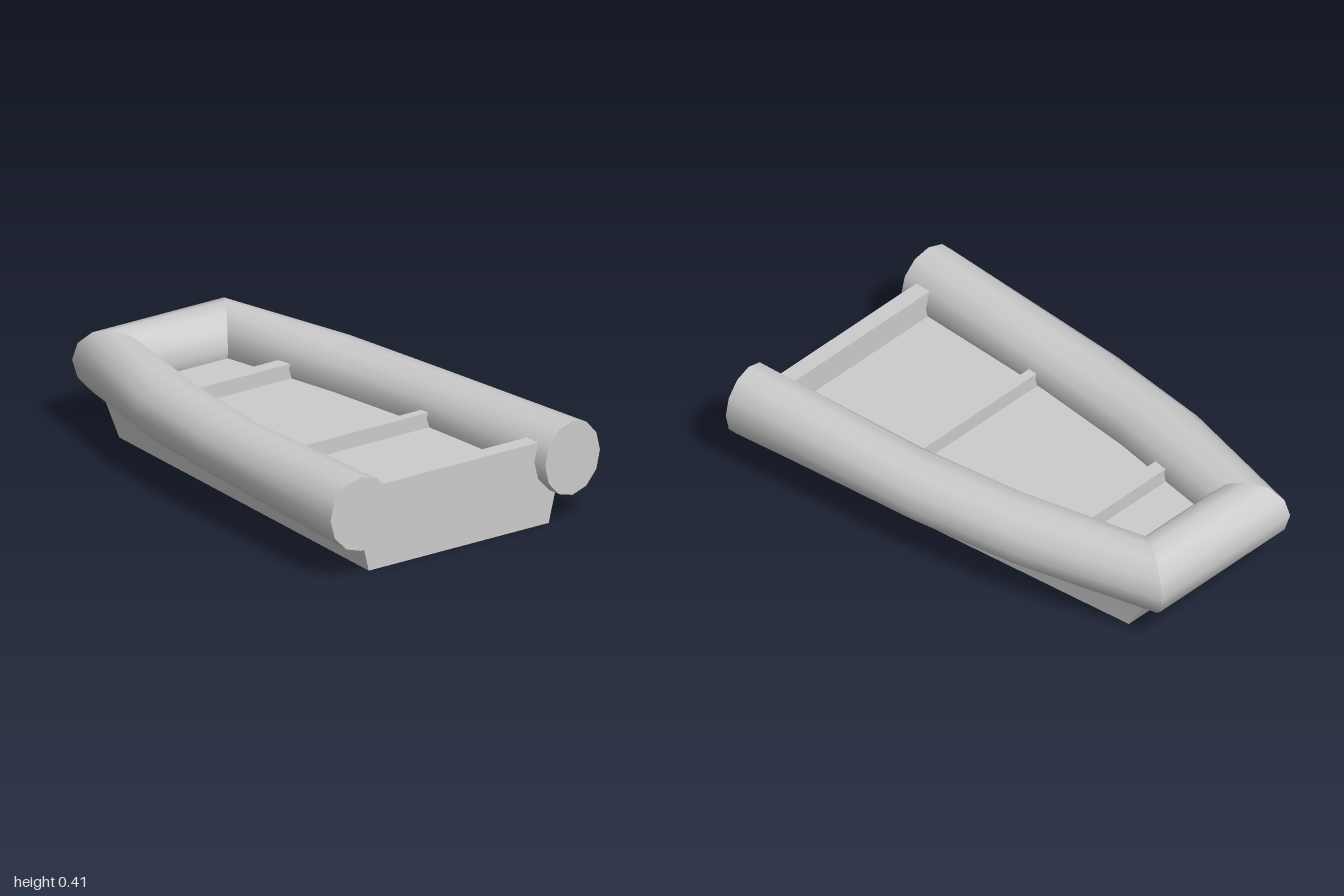
import * as THREE from 'three';

const SIDES = 12;
const TUBE_Y = 0.259;

// Skewed rings of the left tube, stern to bow: outer [x, z], inner [x, z], half height
const LEFT_RINGS = [
  { outer: [0.636, 0.97], inner: [0.36, 0.993], ry: 0.148 },
  { outer: [0.588, 0.07], inner: [0.318, 0.25], ry: 0.12 },
  { outer: [0.523, -0.4], inner: [0.268, -0.2], ry: 0.125 },
  { outer: [0.355, -1.0], inner: [0.175, -0.73], ry: 0.138 },
];

// Points round one ring; cos runs inner to outer, sin runs upward
function ringPoints({ outer, inner, ry }) {
  const points = [];
  for (let k = 0; k < SIDES; k++) {
    const a = (k / SIDES) * Math.PI * 2;
    const t = (1 + Math.cos(a)) / 2;
    points.push([
      inner[0] + (outer[0] - inner[0]) * t,
      TUBE_Y + ry * Math.sin(a),
      inner[1] + (outer[1] - inner[1]) * t,
    ]);
  }
  return points;
}

function makeGeometry(points, index) {
  const geometry = new THREE.BufferGeometry();
  geometry.setAttribute('position', new THREE.Float32BufferAttribute(points.flat(), 3));
  geometry.setIndex(index);
  geometry.computeVertexNormals();
  return geometry;
}

// Smooth skin through a run of rings
function loft(rings) {
  const index = [];
  for (let r = 0; r < rings.length - 1; r++) {
    for (let k = 0; k < SIDES; k++) {
      const a = r * SIDES + k;
      const b = r * SIDES + ((k + 1) % SIDES);
      index.push(a, a + SIDES, b, b, a + SIDES, b + SIDES);
    }
  }
  return makeGeometry(rings.flatMap(ringPoints), index);
}

// Flat disc closing a tube end
function cap(ring, flip) {
  const index = [];
  for (let k = 1; k < SIDES - 1; k++) {
    index.push(0, ...(flip ? [k + 1, k] : [k, k + 1]));
  }
  return makeGeometry(ringPoints(ring), index);
}

// Box whose corners are set by a rule from (side, top, front) signs
function shapedBox(rule) {
  const geometry = new THREE.BoxGeometry(2, 2, 2);
  const p = geometry.attributes.position;
  for (let i = 0; i < p.count; i++) {
    p.setXYZ(i, ...rule(p.getX(i), p.getY(i) > 0, p.getZ(i) > 0));
  }
  geometry.computeVertexNormals();
  return geometry;
}

export function createModel() {
  const boat = new THREE.Group();
  boat.name = 'inflatableBoat';
  const material = new THREE.MeshStandardMaterial({ color: 0xcccccc });
  const add = (name, geometry) => {
    const mesh = new THREE.Mesh(geometry, material);
    mesh.name = name;
    boat.add(mesh);
    return mesh;
  };

  // Buoyancy tubes, mitred at the bow corners
  const mirror = ({ outer, inner, ry }) => ({
    outer: [-outer[0], outer[1]], inner: [-inner[0], inner[1]], ry,
  });
  const rightRings = LEFT_RINGS.map(mirror).reverse();
  add('leftTube', loft(LEFT_RINGS));
  add('bowTube', loft([LEFT_RINGS[3], rightRings[0]]));
  add('rightTube', loft(rightRings));
  add('leftTubeEnd', cap(LEFT_RINGS[0], false));
  add('rightTubeEnd', cap(rightRings[3], true));

  // Hull with flared sides, raked bow and a flat floor on top
  const floorY = 0.22;
  add('hull', shapedBox((side, top, front) => [
    side * (front ? (top ? 0.48 : 0.425) : (top ? 0.31 : 0.3)),
    top ? floorY : 0,
    front ? 0.93 : (top ? -0.92 : -0.78),
  ]));

  // Transom board standing on the hull at the stern
  add('transom', shapedBox((side, top, front) => [
    side * (top ? 0.505 : 0.48), top ? 0.333 : floorY, front ? 0.93 : 0.86,
  ]));

  // Cross ribs on the floor, ends buried in the tubes
  for (const [name, z, width, depth] of [['rearRib', 0.29, 0.82, 0.04], ['frontRib', -0.452, 0.66, 0.06]]) {
    add(name, new THREE.BoxGeometry(width, 0.08, depth)).position.set(0, floorY + 0.02, z);
  }
  return boat;
}
